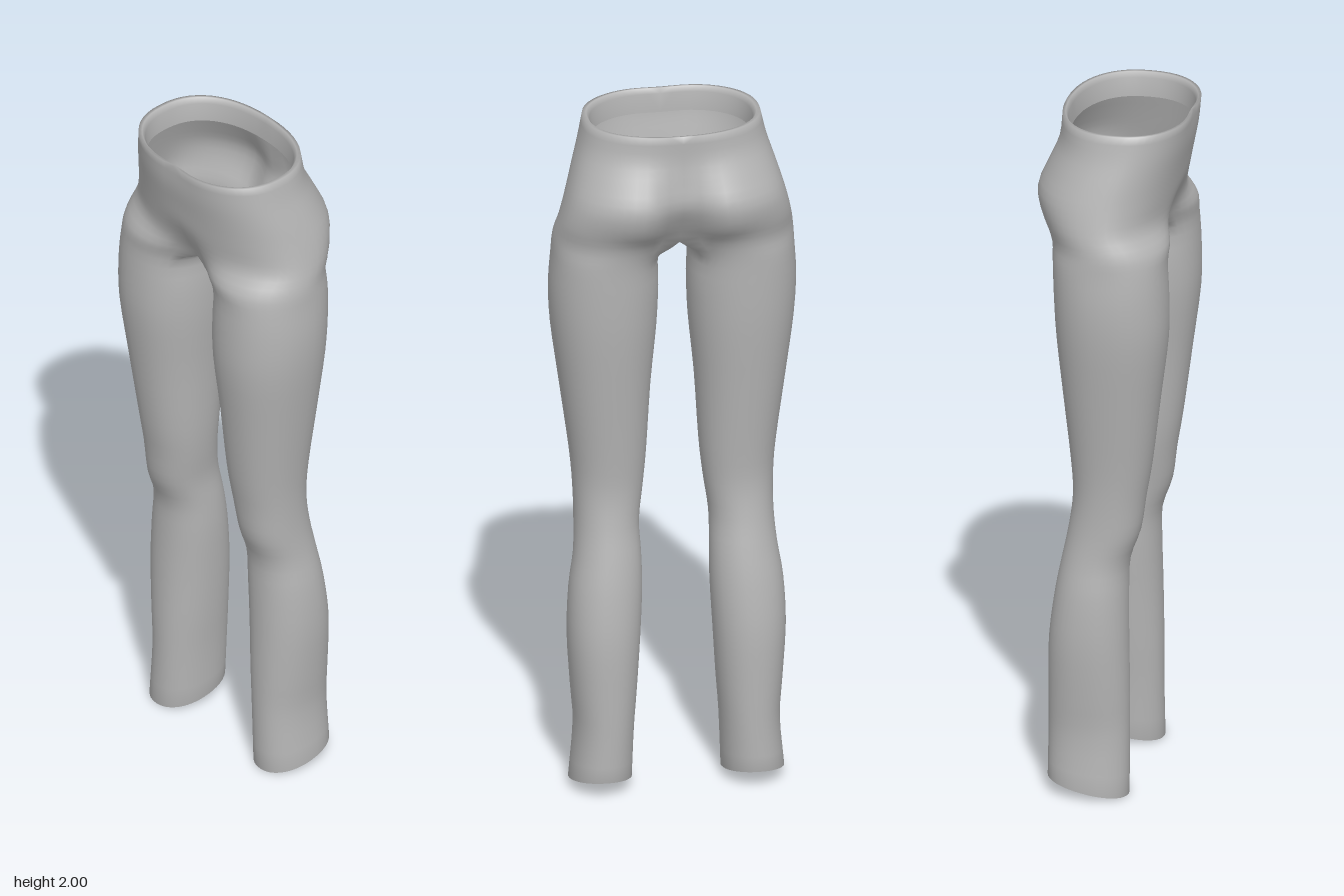
import * as THREE from 'three';
import { mergeVertices } from 'three/addons/utils/BufferGeometryUtils.js';

const OUT = 28, RING = 38, SUB = 3; // outer arc segments, full ring segments, rows per section
const V = (x, y, z) => new THREE.Vector3(x, y, z);
const spow = (v, p) => Math.sign(v) * Math.abs(v) ** p;

// angle round a leg: 0 front, 90 outer, 180 back, 270 inner
const legAngle = i => THREE.MathUtils.degToRad(
  i <= OUT ? -50 + 280 * i / OUT : 230 + 80 * (i - OUT) / (RING - OUT));

// hips: y, half width, front z, back z, front dip, back cleft
const hips = [
  [2.0, 0.25, 0.217, -0.158, 0.011, 0.0],
  [1.93, 0.266, 0.207, -0.166, 0.003, 0.008],
  [1.86, 0.288, 0.192, -0.198, 0.0, 0.032],
  [1.79, 0.309, 0.178, -0.226, 0.0, 0.056],
  [1.72, 0.327, 0.167, -0.208, 0.02, 0.075],
];
// legs: y, outer x, inner x, front z, back z
const legs = [
  [1.6, 0.344, 0.042, 0.173, -0.149],
  [1.5, 0.35, 0.043, 0.178, -0.145],
  [1.38, 0.344, 0.048, 0.177, -0.138],
  [1.2, 0.32, 0.065, 0.155, -0.12],
  [1.0, 0.293, 0.077, 0.13, -0.1],
  [0.89, 0.284, 0.088, 0.112, -0.094],
  [0.79, 0.283, 0.101, 0.098, -0.106],
  [0.7, 0.289, 0.099, 0.068, -0.124],
  [0.6, 0.304, 0.098, 0.065, -0.142],
  [0.46, 0.31, 0.105, 0.067, -0.158],
  [0.3, 0.3, 0.115, 0.07, -0.16],
  [0.18, 0.292, 0.124, 0.07, -0.16],
  [0.03, 0.305, 0.13, 0.071, -0.16],
];

function hipPoint([y, w, zf, zb, dip, cleft], i) {
  if (i > OUT) return V(-0.045, 1.6, 0.145 * Math.cos(legAngle(i))); // guides the crotch curve
  const a = Math.PI * i / OUT, mid = (zf + zb) / 2, h = (zf - zb) / 2;
  const x = i % OUT ? w * Math.sin(a) ** 0.88 : 0;
  const fold = Math.exp(-((x / 0.075) ** 2));
  const z = mid + h * spow(Math.cos(a), 0.87) + fold * (a < Math.PI / 2 ? -dip : cleft);
  return V(x, y, z);
}

// saddle where the two legs meet on the centre line
function crotchPoint(i) {
  const b = legAngle(i), z = 0.008 + 0.165 * Math.cos(b);
  const centre = i >= OUT || i === 0;
  return V(centre ? 0 : 0.168 + 0.172 * Math.sin(b),
    centre ? 1.63 + 0.025 * ((z - 0.008) / 0.106) ** 2 : 1.66, z);
}

function legPoint([y, xo, xi, zf, zb], i, last) {
  const b = legAngle(i);
  const x = (xo + xi) / 2 + (xo - xi) / 2 * spow(Math.sin(b), 0.93);
  const z = (zf + zb) / 2 + (zf - zb) / 2 * spow(Math.cos(b), 0.93);
  return V(x, last ? 0.0145 - 0.2 * z : y, z); // hem slopes up to the back
}

function halfRows() {
  const seam = hips.length * SUB;
  const total = (hips.length + legs.length) * SUB;
  const rows = Array.from({ length: total + 1 }, () => []);
  for (let i = 0; i < RING; i++) {
    const curve = new THREE.CatmullRomCurve3([
      ...hips.map(h => hipPoint(h, i)),
      crotchPoint(i),
      ...legs.map((l, k) => legPoint(l, i, k === legs.length - 1)),
    ], false, 'catmullrom', 0.5);
    for (let r = 0; r <= total; r++) {
      const p = curve.getPoint(r / total);
      if (r <= seam && (i % OUT === 0 || i > OUT)) p.x = 0;
      rows[r].push(p);
    }
  }
  // turned-in edge: scaled about a centre and shifted in height
  const lip = (row, cx, cz, s, dy) =>
    row.map(p => V(cx + (p.x - cx) * s, p.y + dy, cz + (p.z - cz) * s));
  const waist = rows[0], hem = rows[total];
  const top = [[0.9, -0.07], [0.915, -0.015], [0.955, 0]].map(([s, d]) => lip(waist, 0, 0.03, s, d));
  const bottom = [[0.93, 0], [0.87, 0.012], [0.86, 0.05]].map(([s, d]) => lip(hem, 0.217, -0.045, s, d));
  return { rows: [...top, ...rows, ...bottom], seam: seam + top.length };
}

function trouserGeometry() {
  const { rows, seam } = halfRows();
  const positions = [], index = [];
  for (const side of [1, -1]) {
    const base = positions.length / 3;
    for (const row of rows) for (const p of row) positions.push(side * p.x, p.y, p.z);
    for (let r = 0; r < rows.length - 1; r++) {
      const count = r < seam ? OUT : RING; // open arc at the hips, closed ring on the legs
      for (let i = 0; i < count; i++) {
        const j = (i + 1) % RING;
        const a = base + r * RING + i, b = a + RING;
        const d = base + r * RING + j, c = d + RING;
        index.push(...(side > 0 ? [a, b, c, a, c, d] : [a, c, b, a, d, c]));
      }
    }
  }
  const geometry = new THREE.BufferGeometry();
  geometry.setAttribute('position', new THREE.Float32BufferAttribute(positions, 3));
  geometry.setIndex(index);
  const merged = mergeVertices(geometry, 1e-4); // joins the halves along the seam
  merged.computeVertexNormals();
  return merged;
}

export function createModel() {
  const group = new THREE.Group();
  group.name = 'trousers';
  const greyCloth = new THREE.MeshStandardMaterial({ color: 0xb4b4b4, side: THREE.DoubleSide });
  greyCloth.name = 'grey cloth';
  const cloth = new THREE.Mesh(trouserGeometry(), greyCloth);
  cloth.name = 'trouserCloth';
  group.add(cloth);
  return group;
}
